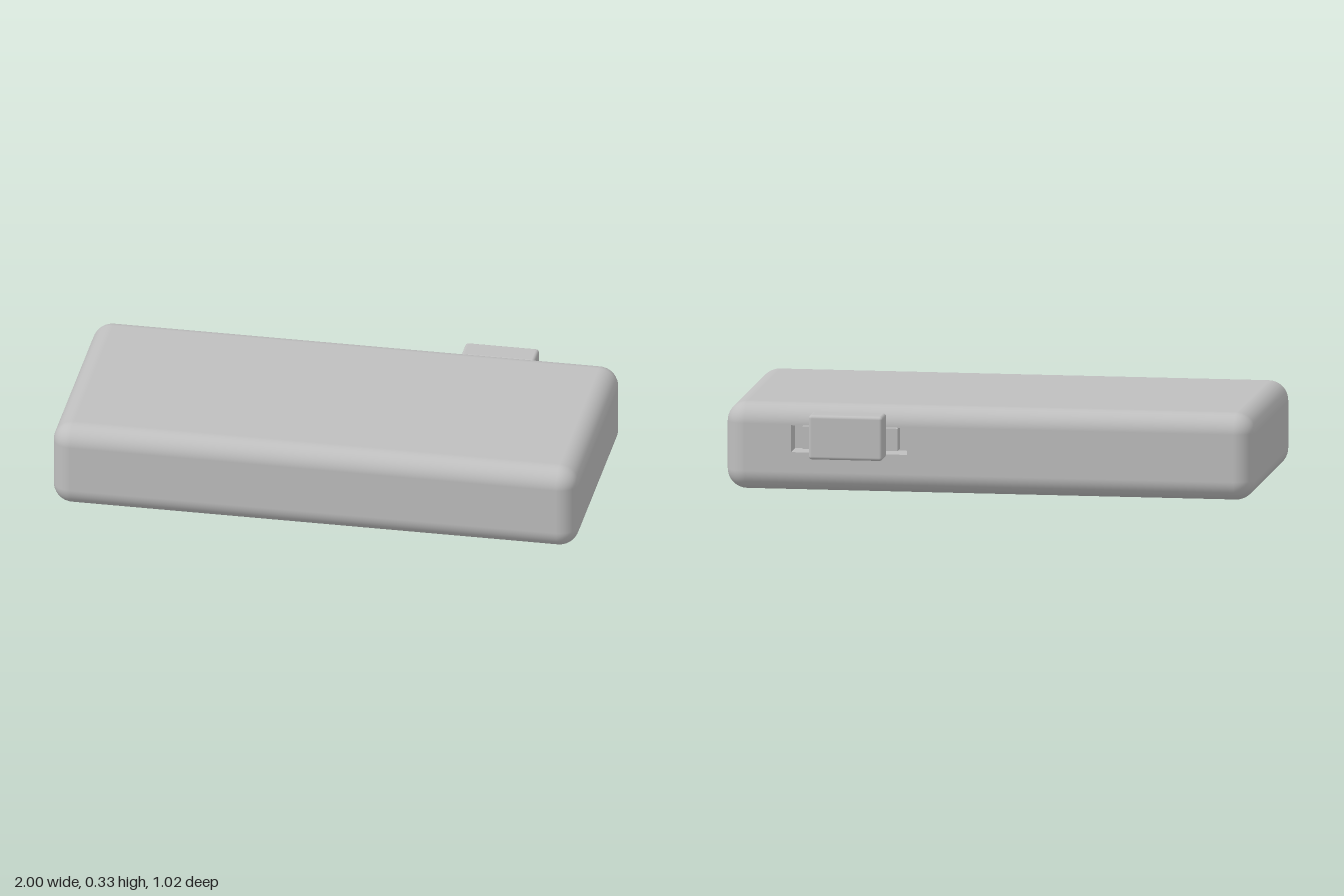
import * as THREE from 'three';
import { RoundedBoxGeometry } from 'three/addons/geometries/RoundedBoxGeometry.js';

const W = 2, H = 0.33, D = 0.93, R = 0.075, ZC = 0.045; // case size, corner radius, z centre
const BACK = ZC - D / 2;
const slot = { x0: 0.31, x1: 0.75, y0: 0.15, y1: 0.252, depth: 0.1 };
const bay = { x0: -0.4, x1: 0.42, z0: -0.15, z1: 0.255, depth: 0.187 };

const grey = new THREE.MeshStandardMaterial({ color: 0xbfbfbf });
grey.name = 'grey plastic';

function add(parent, name, geometry, x = 0, y = 0, z = 0) {
  const mesh = new THREE.Mesh(geometry, grey);
  mesh.name = name;
  mesh.position.set(x, y, z);
  parent.add(mesh);
  return mesh;
}

// Box given by its lower and upper corners
function block(parent, name, a, b) {
  const s = b.map((v, i) => v - a[i]);
  return add(parent, name, new THREE.BoxGeometry(...s), ...a.map((v, i) => v + s[i] / 2));
}

// Inward-facing box with one side left open (face order: +x -x +y -y +z -z)
function pocket(parent, name, a, b, openFace) {
  const mesh = block(parent, name, a, b);
  const g = mesh.geometry;
  const index = Array.from(g.index.array);
  index.splice(openFace * 6, 6);
  g.setIndex(index.reverse());
  g.clearGroups();
  const n = g.attributes.normal;
  for (let i = 0; i < n.count; i++) n.setXYZ(i, -n.getX(i), -n.getY(i), -n.getZ(i));
  return mesh;
}

// Rounded case without its flat bottom and flat back
function openCase() {
  const src = new RoundedBoxGeometry(W, H, D, 6, R);
  const p = src.attributes.position, n = src.attributes.normal;
  const pos = [], nor = [];
  for (let i = 0; i < p.count; i += 3) {
    const ids = [i, i + 1, i + 2];
    const bottom = ids.every((k) => p.getY(k) < -H / 2 + 1e-5);
    const back = ids.every((k) => p.getZ(k) < -D / 2 + 1e-5);
    if (bottom || back) continue;
    for (const k of ids) {
      pos.push(p.getX(k), p.getY(k), p.getZ(k));
      nor.push(n.getX(k), n.getY(k), n.getZ(k));
    }
  }
  const g = new THREE.BufferGeometry();
  g.setAttribute('position', new THREE.Float32BufferAttribute(pos, 3));
  g.setAttribute('normal', new THREE.Float32BufferAttribute(nor, 3));
  return g;
}

// Flat panel with a rectangular hole
function panel(x0, y0, x1, y1, hx0, hy0, hx1, hy1) {
  const rect = (P, a, b, c, d) => new P().moveTo(a, b).lineTo(c, b).lineTo(c, d).lineTo(a, d).closePath();
  const shape = rect(THREE.Shape, x0, y0, x1, y1);
  shape.holes.push(rect(THREE.Path, hx0, hy0, hx1, hy1));
  return new THREE.ShapeGeometry(shape);
}

export function createModel() {
  const model = new THREE.Group();
  model.name = 'handheldCase';

  // Outer case, with pierced back and bottom panels
  add(model, 'caseShell', openCase(), 0, H / 2, ZC);
  const ex = W / 2 - R;
  const back = panel(-ex, R, ex, H - R, -slot.x1, slot.y0, -slot.x0, slot.y1);
  add(model, 'backPanel', back, 0, 0, BACK).rotation.y = Math.PI;
  const bottom = panel(-ex, ZC - D / 2 + R, ex, ZC + D / 2 - R, bay.x0, bay.z0, bay.x1, bay.z1);
  add(model, 'bottomPanel', bottom).rotation.x = Math.PI / 2;

  // Bottom bay: recess, raised step and small corner clips
  pocket(model, 'bottomBay', [bay.x0, 0, bay.z0], [bay.x1, bay.depth, bay.z1], 3);
  block(model, 'bayStep', [0, 0.14, bay.z0], [bay.x1, bay.depth, bay.z1]);
  for (const z of [bay.z0, bay.z1 - 0.025]) {
    block(model, 'bayClip', [bay.x0, 0.01, z], [bay.x0 + 0.025, 0.06, z + 0.025]);
  }

  // Back slot with the sliding button
  pocket(model, 'buttonSlot', [slot.x0, slot.y0, BACK], [slot.x1, slot.y1, BACK + slot.depth], 5);
  const button = new THREE.Group();
  button.name = 'slideButton';
  model.add(button);
  block(button, 'buttonFlange', [0.35, 0.16, BACK + 0.02], [0.71, 0.245, BACK + 0.08]);
  add(button, 'buttonCap', new RoundedBoxGeometry(0.28, 0.168, 0.105, 3, 0.012), 0.53, 0.221, -0.4575);

  return model;
}
